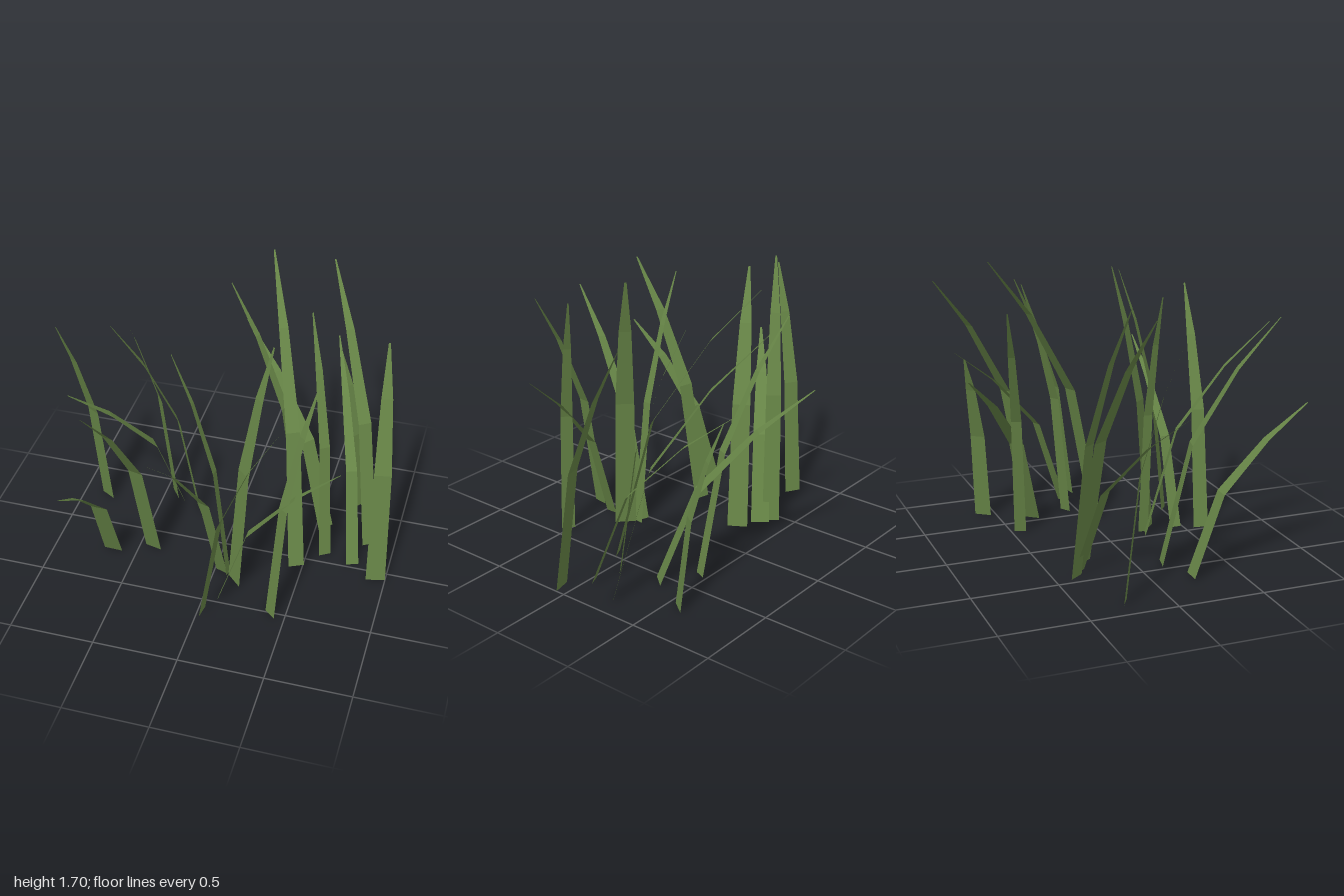
import * as THREE from 'three';

// Each blade: base x, base z, tip x, tip z, height, base width
const BLADES = [
  // left clump
  [-0.845, -0.245, -0.995, 0.015, 1.42, 0.10],
  [-0.37, -0.335, -0.925, 0.085, 1.0, 0.11],
  [-0.43, -0.37, -0.715, -0.16, 1.56, 0.10],
  [-0.24, -0.26, -0.67, 0.0, 1.475, 0.12],
  [-0.645, 0.23, -0.67, 0.91, 0.94, 0.113],
  [-0.415, 0.147, -0.56, 0.785, 1.41, 0.105],
  // front clump
  [0.085, 0.243, -0.245, 0.215, 1.505, 0.06],
  [0.045, 0.24, -0.18, 0.92, 1.30, 0.08],
  [0.135, 0.30, 0.305, 0.125, 1.59, 0.125],
  [0.085, 0.457, 0.76, 0.44, 1.06, 0.07],
  [0.41, 0.515, 0.595, 0.285, 1.51, 0.08],
  [0.027, 0.60, 0.465, 0.665, 1.425, 0.09],
  // back clump
  [0.56, -0.31, -0.10, -0.865, 1.08, 0.106],
  [0.36, -0.445, -0.145, -0.655, 1.455, 0.07],
  [0.463, 0.075, 0.10, -0.685, 1.70, 0.095],
  [0.85, -0.235, 0.415, -0.92, 1.555, 0.09],
  [0.785, -0.03, 0.49, -0.79, 1.11, 0.075],
  [0.607, -0.07, 0.40, -0.40, 1.50, 0.073],
  [0.944, 0.067, 0.86, -0.30, 1.445, 0.115],
  [0.715, -0.575, 0.52, -0.72, 1.055, 0.103],
];

// Cross-sections along a blade: height fraction, width fraction
const SECTIONS = [[0, 1], [0.5, 0.88], [0.8, 0.58], [1, 0.1]];

// Flat ribbon that bends over more towards its tip
function bladeGeometry([bx, bz, tx, tz, height, width]) {
  const lean = new THREE.Vector2(tx - bx, tz - bz);
  const side = new THREE.Vector2(lean.y, -lean.x).normalize();
  const positions = [], index = [];
  SECTIONS.forEach(([t, w], i) => {
    const x = bx + lean.x * t * t, z = bz + lean.y * t * t;
    for (const s of [-0.5, 0.5]) {
      positions.push(x + side.x * width * w * s, height * t, z + side.y * width * w * s);
    }
    if (i > 0) {
      const a = 2 * (i - 1);
      index.push(a, a + 2, a + 1, a + 1, a + 2, a + 3);
    }
  });
  const geometry = new THREE.BufferGeometry();
  geometry.setAttribute('position', new THREE.Float32BufferAttribute(positions, 3));
  geometry.setIndex(index);
  const flat = geometry.toNonIndexed();
  flat.computeVertexNormals();
  return flat;
}

export function createModel() {
  const group = new THREE.Group();
  group.name = 'grassTuft';
  const green = new THREE.MeshStandardMaterial({ color: 0x668446, side: THREE.DoubleSide });
  green.name = 'grassGreen';

  BLADES.forEach((blade, i) => {
    const mesh = new THREE.Mesh(bladeGeometry(blade), green);
    mesh.name = `grassBlade${i + 1}`;
    group.add(mesh);
  });
  return group;
}
